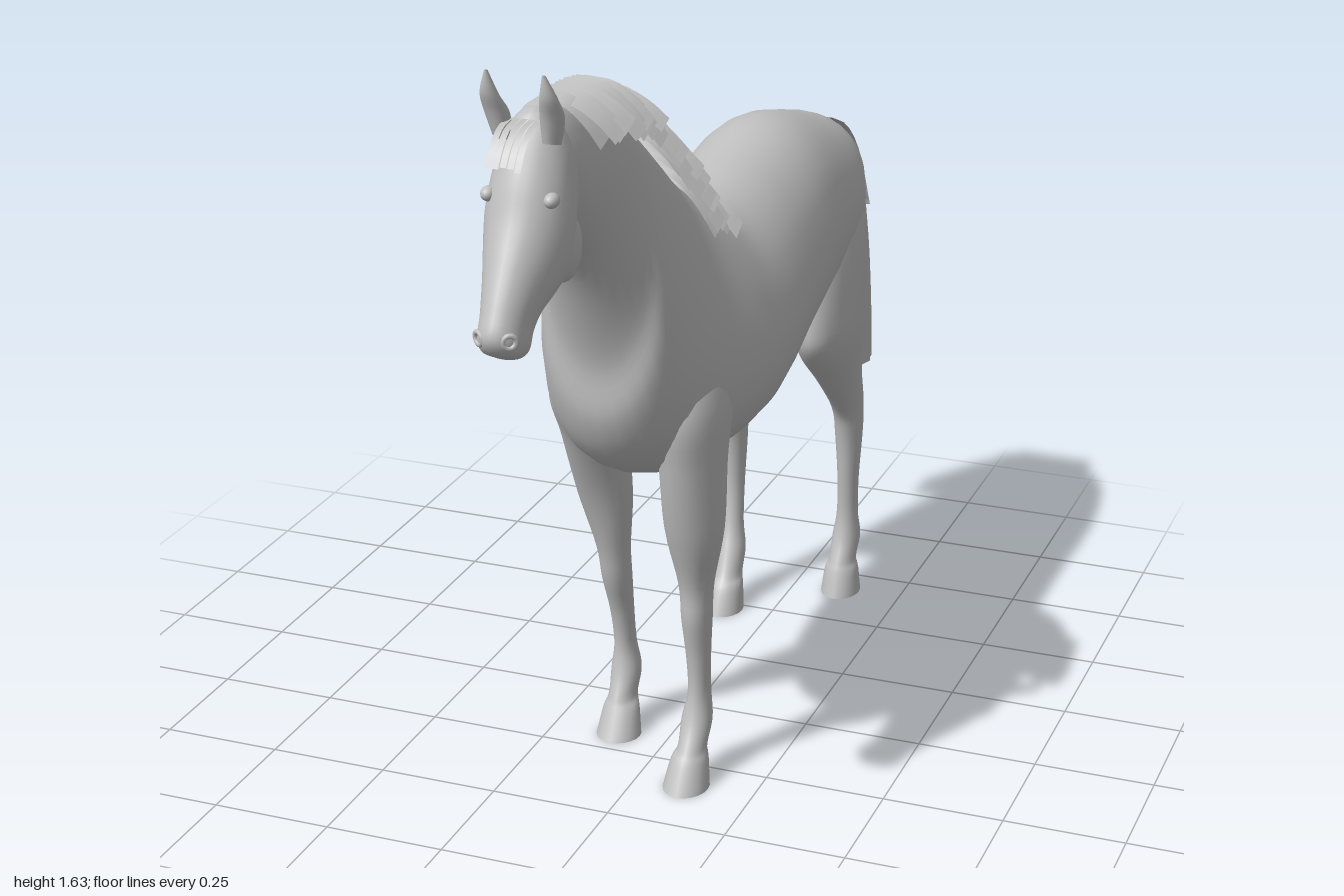
import * as THREE from 'three';

const coat = new THREE.MeshStandardMaterial({ color: 0xc0c0c0, side: THREE.DoubleSide });
coat.name = 'plain grey';

// Catmull-Rom through rows of numbers
function smoothRows(rows, steps) {
  const out = [];
  const at = i => rows[Math.max(0, Math.min(rows.length - 1, i))];
  for (let i = 0; i < rows.length - 1; i++) {
    for (let s = 0; s < steps; s++) {
      const t = s / steps, a = at(i - 1), b = at(i), c = at(i + 1), d = at(i + 2);
      out.push(b.map((_, k) => 0.5 * (2 * b[k] + (c[k] - a[k]) * t +
        (2 * a[k] - 5 * b[k] + 4 * c[k] - d[k]) * t * t +
        (3 * b[k] - a[k] - 3 * c[k] + d[k]) * t * t * t)));
    }
  }
  out.push(rows[rows.length - 1]);
  return out;
}

// Closed loft. Each row: [z1, y1, z2, y2, halfWidth, egg, x];
// the ring spans point 1 to point 2, and egg moves the widest place toward point 2.
function loft(name, rows, { steps = 5, sides = 28 } = {}) {
  const rings = smoothRows(rows, steps), pos = [], idx = [];
  const ring = ([z1, y1, z2, y2, w, egg, x]) => {
    for (let j = 0; j < sides; j++) {
      const a = j / sides * Math.PI * 2, c = Math.cos(a);
      pos.push(x + w * Math.sin(a) * (1 - egg * c),
        (y1 + y2) / 2 + c * (y1 - y2) / 2, (z1 + z2) / 2 + c * (z1 - z2) / 2);
    }
  };
  rings.forEach(ring);
  for (let i = 0; i < rings.length - 1; i++) {
    for (let j = 0; j < sides; j++) {
      const k = (j + 1) % sides, a = i * sides + j, b = i * sides + k;
      idx.push(a, b, a + sides, b, b + sides, a + sides);
    }
  }
  // separate end caps keep crisp rims
  [rings[0], rings[rings.length - 1]].forEach((r, end) => {
    const base = pos.length / 3;
    ring(r);
    pos.push(r[6], (r[1] + r[3]) / 2, (r[0] + r[2]) / 2);
    for (let j = 0; j < sides; j++) {
      const a = base + j, b = base + (j + 1) % sides, c = base + sides;
      idx.push(...(end ? [a, b, c] : [b, a, c]));
    }
  });
  // turn faces outward
  const p = i => new THREE.Vector3().fromArray(pos, i * 3);
  let volume = 0;
  for (let i = 0; i < idx.length; i += 3) volume += p(idx[i]).dot(p(idx[i + 1]).cross(p(idx[i + 2])));
  if (volume < 0) idx.reverse();
  const g = new THREE.BufferGeometry();
  g.setAttribute('position', new THREE.Float32BufferAttribute(pos, 3));
  g.setIndex(idx);
  g.computeVertexNormals();
  const m = new THREE.Mesh(g, coat);
  m.name = name;
  return m;
}

// Flat strand following points, widened along a direction
function strand(name, points, across, width, steps = 8) {
  const curve = new THREE.CatmullRomCurve3(points.map(q => new THREE.Vector3(...q)));
  const side = new THREE.Vector3(...across).normalize().multiplyScalar(width / 2);
  const g = new THREE.PlaneGeometry(1, 1, 1, steps), p = g.attributes.position;
  for (let i = 0; i <= steps; i++) {
    const c = curve.getPoint(i / steps);
    p.setXYZ(i * 2, c.x - side.x, c.y - side.y, c.z - side.z);
    p.setXYZ(i * 2 + 1, c.x + side.x, c.y + side.y, c.z + side.z);
  }
  g.computeVertexNormals();
  const m = new THREE.Mesh(g, coat);
  m.name = name;
  return m;
}

function blob(name, at, size, tilt = 0) {
  const m = new THREE.Mesh(new THREE.SphereGeometry(1, 16, 12), coat);
  m.position.set(...at);
  m.scale.set(...size);
  m.rotation.x = tilt;
  m.name = name;
  return m;
}

// Leg rows: [y, front z, back z, x, half width]
const leg = (name, side, rows) => loft(name,
  rows.map(([y, f, b, x, w]) => [f, y, b, y, w, 0, x * side]), { sides: 20 });

export function createModel() {
  const horse = new THREE.Group();
  horse.name = 'horse';
  let seed = 7;
  const rand = () => (seed = (seed * 16807) % 2147483647) / 2147483647;

  // Trunk and neck, rump to poll
  horse.add(loft('bodyAndNeck', [
    [-0.725, 1.10, -0.72, 1.04, 0.04, 0, 0],
    [-0.705, 1.13, -0.69, 0.94, 0.12, 0, 0],
    [-0.60, 1.165, -0.61, 0.80, 0.168, 0, 0],
    [-0.40, 1.21, -0.40, 0.73, 0.185, 0.02, 0],
    [-0.20, 1.18, -0.20, 0.695, 0.198, 0.08, 0],
    [0, 1.15, 0, 0.665, 0.214, 0.14, 0],
    [0.11, 1.19, 0.16, 0.66, 0.208, 0.24, 0],
    [0.22, 1.26, 0.33, 0.675, 0.18, 0.32, 0],
    [0.32, 1.345, 0.46, 0.745, 0.15, 0.3, 0],
    [0.42, 1.42, 0.525, 0.85, 0.128, 0.22, 0],
    [0.50, 1.485, 0.535, 0.97, 0.108, 0.12, 0],
    [0.58, 1.53, 0.585, 1.10, 0.09, 0.04, 0],
    [0.67, 1.55, 0.64, 1.20, 0.08, 0, 0],
    [0.77, 1.555, 0.70, 1.26, 0.072, 0, 0],
    [0.82, 1.535, 0.76, 1.32, 0.045, 0, 0],
  ]));

  // Head, poll to lips
  horse.add(loft('head', [
    [0.76, 1.55, 0.69, 1.38, 0.05, 0, 0],
    [0.82, 1.54, 0.745, 1.28, 0.074, 0, 0],
    [0.873, 1.45, 0.785, 1.215, 0.08, 0, 0],
    [0.905, 1.375, 0.825, 1.195, 0.07, 0, 0],
    [0.945, 1.30, 0.86, 1.18, 0.055, 0, 0],
    [0.98, 1.235, 0.878, 1.158, 0.046, 0, 0],
    [1.0, 1.19, 0.893, 1.132, 0.044, 0, 0],
    [0.99, 1.16, 0.92, 1.127, 0.032, 0, 0],
    [0.97, 1.145, 0.94, 1.13, 0.01, 0, 0],
  ]));

  for (const s of [-1, 1]) {
    horse.add(loft('ear', [
      [0.845, 1.50, 0.805, 1.49, 0.016, 0, s * 0.046],
      [0.86, 1.55, 0.81, 1.54, 0.022, 0, s * 0.052],
      [0.875, 1.59, 0.84, 1.58, 0.017, 0, s * 0.056],
      [0.877, 1.632, 0.87, 1.63, 0.003, 0, s * 0.054],
    ], { sides: 14 }));
    horse.add(blob('eye', [s * 0.06, 1.405, 0.862], [0.014, 0.014, 0.018]));
    horse.add(blob('cheek', [s * 0.045, 1.30, 0.785], [0.03, 0.075, 0.055], 0.3));
    const nostril = new THREE.Mesh(new THREE.TorusGeometry(0.012, 0.005, 8, 16), coat);
    nostril.position.set(s * 0.029, 1.182, 0.984);
    nostril.rotation.set(0.1, s * 0.6, 0);
    nostril.name = 'nostril';
    horse.add(nostril);
  }

  // Legs, shoulder or hip to sole
  horse.add(leg('leftFrontLeg', 1, [
    [1.0, 0.36, 0.22, 0.10, 0.04], [0.85, 0.43, 0.20, 0.115, 0.07], [0.72, 0.415, 0.235, 0.118, 0.065],
    [0.57, 0.378, 0.25, 0.116, 0.06], [0.44, 0.335, 0.25, 0.112, 0.036], [0.36, 0.328, 0.25, 0.112, 0.031],
    [0.27, 0.31, 0.25, 0.112, 0.025], [0.19, 0.305, 0.243, 0.112, 0.023], [0.13, 0.32, 0.245, 0.11, 0.031],
    [0.08, 0.348, 0.27, 0.11, 0.029], [0.055, 0.365, 0.275, 0.108, 0.038], [0, 0.395, 0.28, 0.107, 0.047],
  ]));
  horse.add(leg('rightFrontLeg', -1, [
    [1.0, 0.36, 0.20, 0.10, 0.04], [0.85, 0.41, 0.18, 0.115, 0.07], [0.72, 0.34, 0.175, 0.118, 0.065],
    [0.57, 0.265, 0.165, 0.116, 0.058], [0.44, 0.22, 0.145, 0.112, 0.036], [0.36, 0.20, 0.127, 0.112, 0.031],
    [0.27, 0.165, 0.11, 0.112, 0.025], [0.19, 0.15, 0.092, 0.112, 0.023], [0.13, 0.16, 0.083, 0.11, 0.031],
    [0.08, 0.182, 0.10, 0.11, 0.029], [0.055, 0.195, 0.118, 0.108, 0.038], [0, 0.225, 0.125, 0.107, 0.047],
  ]));
  horse.add(leg('leftHindLeg', 1, [
    [1.08, -0.45, -0.66, 0.09, 0.05], [0.92, -0.40, -0.685, 0.105, 0.072], [0.75, -0.37, -0.655, 0.12, 0.066],
    [0.67, -0.39, -0.66, 0.12, 0.062], [0.57, -0.50, -0.68, 0.12, 0.045], [0.47, -0.60, -0.715, 0.12, 0.034],
    [0.40, -0.63, -0.712, 0.12, 0.031], [0.28, -0.65, -0.707, 0.118, 0.024], [0.19, -0.66, -0.715, 0.115, 0.024],
    [0.13, -0.652, -0.735, 0.112, 0.031], [0.08, -0.632, -0.715, 0.11, 0.03], [0.055, -0.622, -0.712, 0.11, 0.038],
    [0, -0.605, -0.722, 0.11, 0.044],
  ]));
  horse.add(leg('rightHindLeg', -1, [
    [1.08, -0.45, -0.66, 0.09, 0.05], [0.92, -0.39, -0.68, 0.105, 0.072], [0.75, -0.36, -0.63, 0.12, 0.066],
    [0.66, -0.37, -0.60, 0.12, 0.062], [0.57, -0.435, -0.59, 0.12, 0.046], [0.47, -0.50, -0.605, 0.12, 0.034],
    [0.40, -0.525, -0.603, 0.12, 0.031], [0.28, -0.533, -0.59, 0.118, 0.024], [0.19, -0.518, -0.575, 0.115, 0.024],
    [0.13, -0.492, -0.57, 0.112, 0.031], [0.08, -0.465, -0.548, 0.11, 0.03], [0.055, -0.445, -0.533, 0.11, 0.038],
    [0, -0.42, -0.53, 0.11, 0.044],
  ]));

  // Mane: overlapping strands falling to the left of the crest
  const crest = new THREE.CatmullRomCurve3([
    [0.76, 1.56], [0.67, 1.555], [0.58, 1.535], [0.5, 1.49], [0.41, 1.415], [0.32, 1.35], [0.22, 1.265], [0.07, 1.175],
  ].map(([z, y]) => new THREE.Vector3(0, y, z)));
  const mane = new THREE.Group();
  mane.name = 'mane';
  const count = 36;
  for (let i = 0; i < count; i++) {
    const t = i / (count - 1), c = crest.getPoint(t);
    const reach = 0.115 + rand() * 0.035, fall = 0.05 + rand() * 0.03 + t * 0.02;
    const z = c.z + (rand() - 0.5) * 0.01, lean = (rand() - 0.5) * 0.02;
    mane.add(strand('maneStrand', [
      [-0.005, c.y + 0.002, z], [reach * 0.4, c.y - 0.005, z + lean * 0.3],
      [reach * 0.75, c.y - fall * 0.5, z + lean * 0.7], [reach, c.y - fall, z + lean],
    ], [0, -0.3 - t * 0.3, 1], 0.042));
  }
  horse.add(mane);

  // Forelock
  for (let i = 0; i < 5; i++) {
    const x = -0.032 + i * 0.014, d = rand() * 0.025;
    horse.add(strand('forelockStrand', [
      [x, 1.535, 0.825], [x, 1.528, 0.87], [x, 1.50, 0.905], [x, 1.45 + d, 0.935 - d * 0.5],
    ], [1, 0, 0], 0.012));
  }

  // Tail: wide strands over the dock, then narrow hanging ones
  const tail = new THREE.Group();
  tail.name = 'tail';
  for (let layer = 0; layer < 3; layer++) {
    for (let i = 0; i < 6; i++) {
      const u = (i - 2.5) / 2.5, o = layer * 0.013, d = rand() * 0.03;
      tail.add(strand('tailTopStrand', [
        [u * 0.045, 1.125 - o, -0.70], [u * 0.052, 1.085 - o, -0.785 + o * 0.5],
        [u * 0.058, 1.0 - o, -0.865 + o], [u * 0.065, 0.85 + d, -0.928 + o],
      ], [1, 0, 0], 0.028));
    }
  }
  for (let i = 0; i < 14; i++) {
    const x = (i - 6.5) / 6.5 * 0.072, d = rand() * 0.09, o = (rand() - 0.5) * 0.012;
    tail.add(strand('tailHangingStrand', [
      [x, 0.87, -0.90 + o], [x, 0.74, -0.937 + o], [x * 1.03, 0.58, -0.957 + o], [x * 1.05, 0.40 + d, -0.962 + o],
    ], [i % 2 ? 0.15 : -0.15, 0.1, 1], 0.052));
  }
  horse.add(tail);

  return horse;
}
